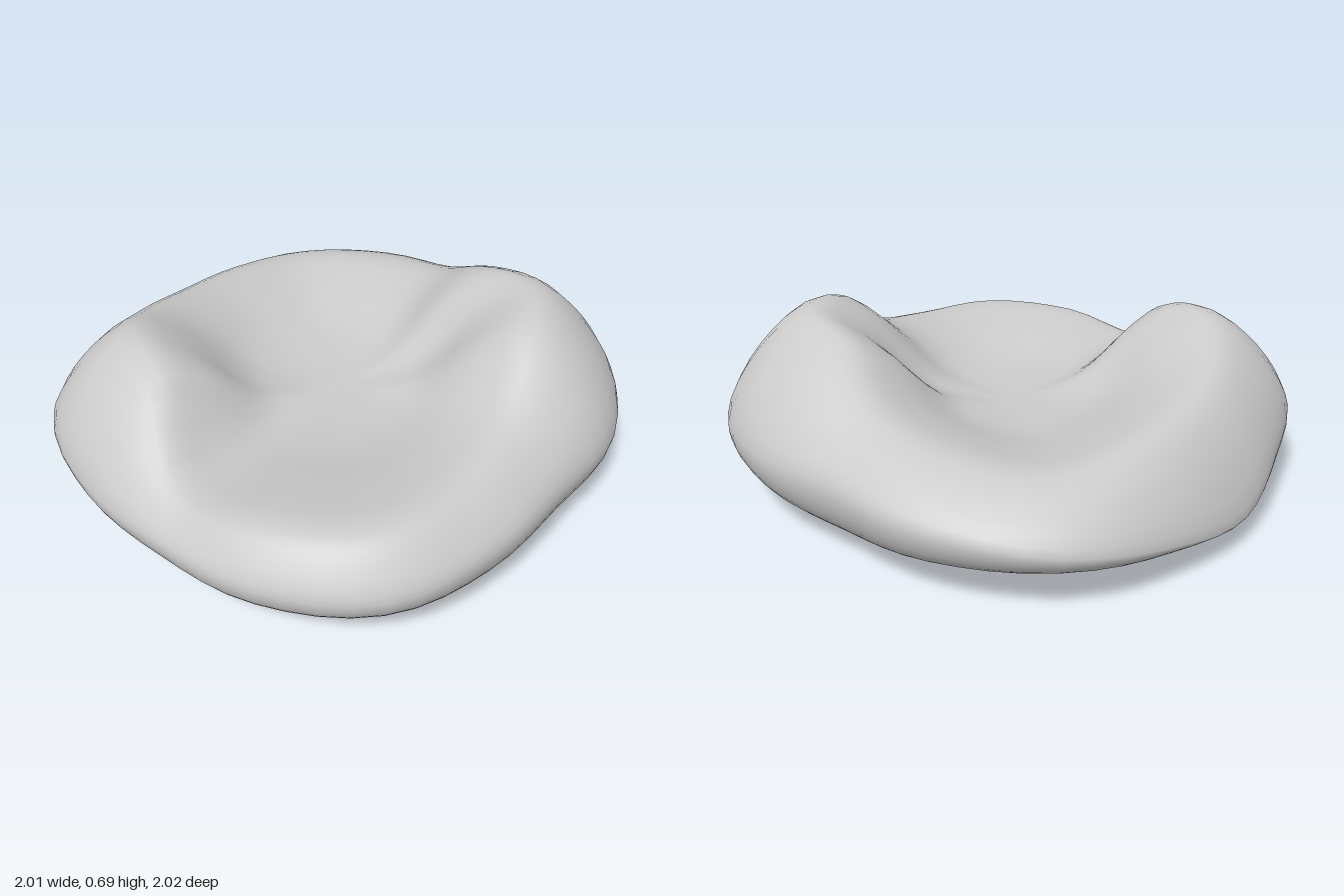
import * as THREE from 'three';

// One row per 22.5 degrees, starting at +x and turning towards +z:
// [outer radius, crest radius, crest height, height of the widest point]
const SECTIONS = [
  [0.985, 0.74, 0.49, 0.28], [1.03, 0.84, 0.43, 0.27], [1.11, 0.97, 0.42, 0.25], [1.07, 0.94, 0.395, 0.24],
  [1.00, 0.86, 0.35, 0.22], [1.03, 0.71, 0.575, 0.24], [1.08, 0.75, 0.62, 0.27], [1.00, 0.75, 0.53, 0.19],
  [1.00, 0.76, 0.46, 0.10], [1.04, 0.82, 0.42, 0.15], [1.12, 0.90, 0.385, 0.22], [1.07, 0.82, 0.42, 0.27],
  [0.98, 0.74, 0.48, 0.29], [1.03, 0.68, 0.625, 0.29], [1.09, 0.76, 0.685, 0.29], [1.07, 0.73, 0.66, 0.28],
];
const HOLLOW = 0.3; // height of the middle of the hollow
const AROUND = 64, ALONG = 40;

// Smooth closed interpolation through one pair of section columns
const closedCurve = (a, b) => new THREE.CatmullRomCurve3(
  SECTIONS.map((s) => new THREE.Vector3(s[a], s[b], 0)), true, 'catmullrom', 0.5);

// Half cross-section: underside centre, out around the side, over the crest, into the hollow
function profile(R, crest, top, wide) {
  const mix = THREE.MathUtils.lerp;
  const low = 0.07 * R ** 4; // the underside lifts towards the corners
  return new THREE.CatmullRomCurve3([
    [0, 0], [0.45 * R, 0.015], [0.86 * R, low], [0.97 * R, mix(low + 0.01, wide, 0.35)], [R, wide],
    [mix(crest, R, 0.62), mix(wide, top, 0.6)], [crest, top],
    [0.76 * crest, mix(HOLLOW, top, 0.78)], [0.45 * crest, mix(HOLLOW, top, 0.2)],
    [0.2 * crest, mix(HOLLOW, top, 0.03)], [0, HOLLOW],
  ].map(([r, y]) => new THREE.Vector3(r, y, 0)));
}

function cushionGeometry() {
  const radii = closedCurve(0, 1), heights = closedCurve(2, 3);
  const positions = [0, 0, 0], index = [];
  for (let j = 0; j < AROUND; j++) {
    const u = j / AROUND, angle = u * Math.PI * 2;
    const r = radii.getPoint(u), h = heights.getPoint(u);
    const curve = profile(r.x, r.y, h.x, h.y);
    for (let i = 1; i < ALONG; i++) {
      const p = curve.getPoint(i / ALONG);
      positions.push(p.x * Math.cos(angle), Math.max(p.y, 0), p.x * Math.sin(angle));
    }
  }
  positions.push(0, HOLLOW, 0);

  // Quads between neighbouring sections, fans at both centres
  const rows = ALONG - 1, last = AROUND * rows + 1;
  const at = (i, j) => 1 + (j % AROUND) * rows + i;
  for (let j = 0; j < AROUND; j++) {
    index.push(0, at(0, j), at(0, j + 1));
    for (let i = 0; i < rows - 1; i++) {
      index.push(at(i, j), at(i + 1, j), at(i, j + 1));
      index.push(at(i + 1, j), at(i + 1, j + 1), at(i, j + 1));
    }
    index.push(at(rows - 1, j), last, at(rows - 1, j + 1));
  }
  const geometry = new THREE.BufferGeometry();
  geometry.setAttribute('position', new THREE.Float32BufferAttribute(positions, 3));
  geometry.setIndex(index);
  geometry.computeVertexNormals();
  return geometry;
}

export function createModel() {
  const group = new THREE.Group();
  group.name = 'dentedCushion';
  const cushion = new THREE.Mesh(cushionGeometry(), new THREE.MeshStandardMaterial({ color: 0xcccccc }));
  cushion.name = 'cushion';
  group.add(cushion);
  return group;
}
